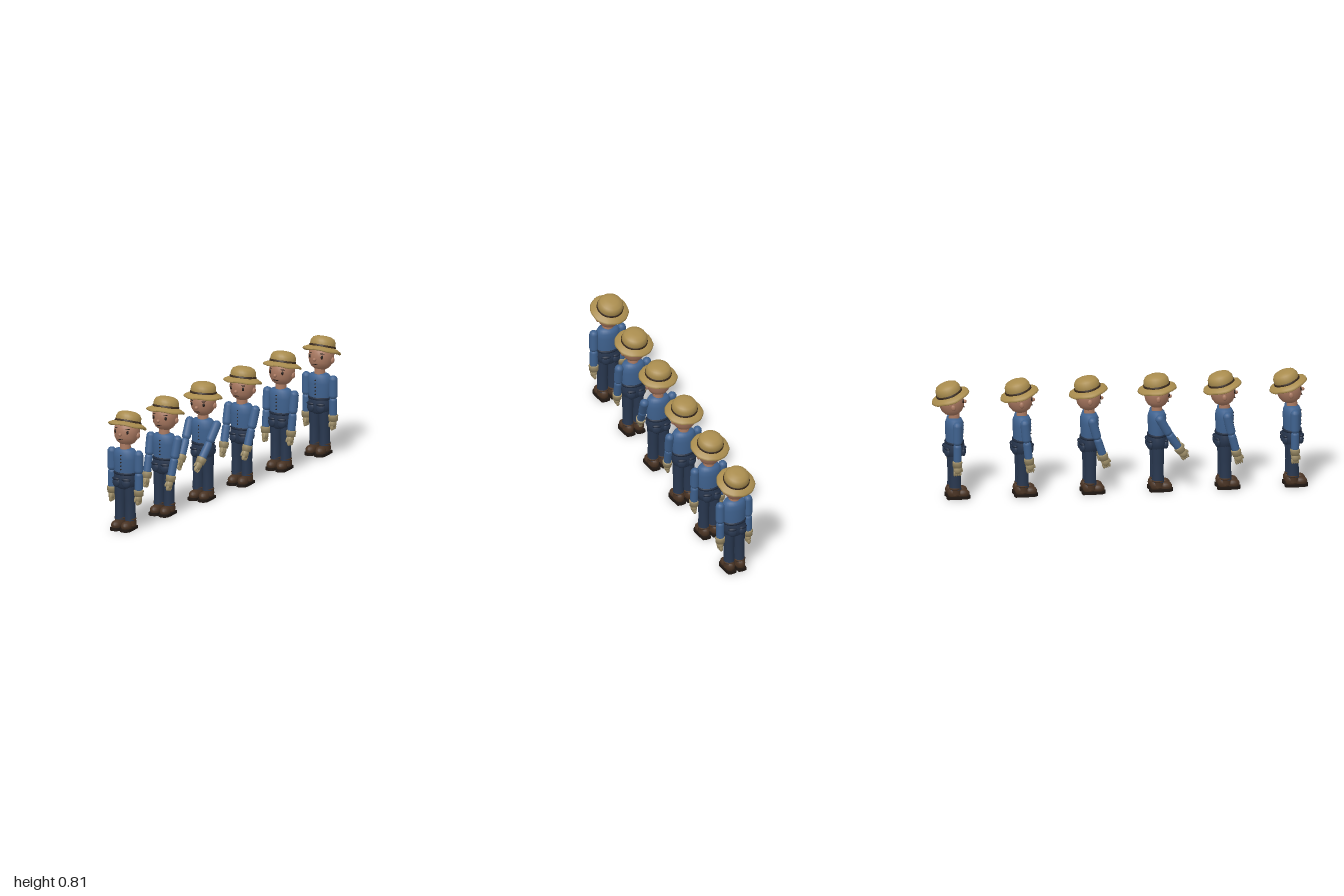
import * as THREE from 'three';

const mat = (color, side = THREE.FrontSide) => new THREE.MeshStandardMaterial({ color, side });
const M = {
  straw: mat(0xa98c4e, THREE.DoubleSide), band: mat(0x3a2a1c), skin: mat(0xa87860), dark: mat(0x231a16),
  shirt: mat(0x3f628f), denim: mat(0x28374f), seam: mat(0x202c40), glove: mat(0xa0906a),
  boot: mat(0x4a3424), sole: mat(0x1f1712),
};
const V = (points) => points.map(([x, y]) => new THREE.Vector2(x, y));

function add(parent, name, geometry, material, x = 0, y = 0, z = 0, scale = [1, 1, 1]) {
  const mesh = new THREE.Mesh(geometry, material);
  mesh.name = name;
  mesh.position.set(x, y, z);
  mesh.scale.set(...scale);
  parent.add(mesh);
  return mesh;
}
function group(parent, name, x = 0, y = 0, z = 0) {
  const g = new THREE.Group();
  g.name = name;
  g.position.set(x, y, z);
  parent.add(g);
  return g;
}
const ball = new THREE.SphereGeometry(1, 14, 10);
const bead = new THREE.SphereGeometry(1, 8, 6);
const lathe = (points, n = 18) => new THREE.LatheGeometry(V(points), n);

// Brim with a gently wavy, uneven edge
function brimGeometry() {
  const g = lathe([[0.07, 0.004], [0.1, -0.008], [0.125, -0.022], [0.132, -0.016], [0.126, -0.006], [0.1, 0.008], [0.07, 0.016]], 44);
  const p = g.attributes.position;
  for (let i = 0; i < p.count; i++) {
    const x = p.getX(i), z = p.getZ(i), a = Math.atan2(x, z);
    const edge = Math.max(0, (Math.hypot(x, z) - 0.08) / 0.052);
    const s = 1 - 0.02 * edge * (1 + Math.cos(11 * a)) / 2;
    p.setXYZ(i, x * s, p.getY(i) + 0.003 * edge * Math.sin(5 * a), z * s);
  }
  g.computeVertexNormals();
  return g;
}

// Sole outline seen from above, extruded upwards
function soleGeometry() {
  const s = new THREE.Shape();
  s.moveTo(-0.03, 0.052);
  s.quadraticCurveTo(0, 0.064, 0.03, 0.052);
  s.bezierCurveTo(0.034, 0, 0.038, -0.03, 0.036, -0.07);
  s.bezierCurveTo(0.034, -0.112, -0.034, -0.112, -0.036, -0.07);
  s.bezierCurveTo(-0.038, -0.03, -0.034, 0, -0.03, 0.052);
  const g = new THREE.ExtrudeGeometry(s, { depth: 0.018, bevelEnabled: false, curveSegments: 8 });
  return g.rotateX(-Math.PI / 2);
}

const G = {
  brim: brimGeometry(),
  crown: lathe([[0.081, 0], [0.086, 0.025], [0.084, 0.05], [0.072, 0.071], [0.045, 0.083], [0.02, 0.086], [0, 0.086]], 28),
  band: lathe([[0.085, 0.004], [0.09, 0.008], [0.09, 0.02], [0.084, 0.025]], 28),
  head: lathe([[0, -0.084], [0.035, -0.079], [0.06, -0.062], [0.077, -0.035], [0.086, 0.005], [0.084, 0.04], [0.068, 0.07], [0, 0.085]], 24),
  neck: new THREE.CylinderGeometry(0.034, 0.038, 0.06, 18),
  torso: lathe([[0.074, 0.36], [0.08, 0.42], [0.085, 0.49], [0.082, 0.525], [0.068, 0.548], [0.035, 0.558], [0, 0.558]], 24),
  hips: lathe([[0, 0.275], [0.05, 0.28], [0.076, 0.3], [0.082, 0.34], [0.079, 0.38], [0.072, 0.395], [0, 0.395]], 24),
  belt: new THREE.TorusGeometry(0.076, 0.007, 6, 24),
  leg: lathe([[0.037, 0.065], [0.036, 0.08], [0.034, 0.17], [0.036, 0.2], [0.039, 0.33]]),
  sole: soleGeometry(),
  bootCollar: new THREE.CylinderGeometry(0.037, 0.037, 0.045, 18),
  bootTop: new THREE.TorusGeometry(0.034, 0.007, 6, 18),
  upperArm: new THREE.CapsuleGeometry(0.03, 0.105, 4, 14),
  forearm: new THREE.CapsuleGeometry(0.027, 0.09, 4, 14),
  cuff: lathe([[0, -0.03], [0.03, -0.03], [0.034, 0.006], [0.03, 0.012], [0, 0.012]]),
};

function addHead(body, pitch) {
  const head = group(body, 'head', 0, 0.57, 0);
  head.rotation.x = pitch;
  add(head, 'face', G.head, M.skin, 0, 0.09, 0);
  add(head, 'nose', ball, M.skin, 0, 0.075, 0.088, [0.012, 0.012, 0.014]);
  add(head, 'mouth', bead, M.dark, 0, 0.043, 0.074, [0.022, 0.003, 0.006]);
  for (const s of [-1, 1]) {
    add(head, 'ear', ball, M.skin, s * 0.085, 0.08, -0.006, [0.012, 0.021, 0.016]);
    add(head, 'eye', bead, M.dark, s * 0.045, 0.095, 0.071, [0.009, 0.013, 0.008]);
    const brow = add(head, 'eyebrow', bead, M.dark, s * 0.045, 0.118, 0.071, [0.016, 0.003, 0.006]);
    brow.rotation.y = s * 0.56;
  }
  const hat = group(head, 'hat', 0, 0.147, 0);
  hat.rotation.x = -0.13;
  add(hat, 'hatBrim', G.brim, M.straw);
  add(hat, 'hatCrown', G.crown, M.straw);
  add(hat, 'hatBand', G.band, M.band);
}

function addArm(body, s, swing) {
  const arm = group(body, s > 0 ? 'leftArm' : 'rightArm', s * 0.103, 0.52, 0);
  arm.rotation.set(-swing, 0, -s * swing * (s > 0 ? 0.3 : 0.1));
  add(arm, 'upperArm', G.upperArm, M.shirt, 0, -0.052, 0);
  const lower = group(arm, 'lowerArm', 0, -0.13, 0);
  lower.rotation.x = -swing * 0.12;
  add(lower, 'forearm', G.forearm, M.shirt, 0, -0.058, 0);
  add(lower, 'gloveCuff', G.cuff, M.glove, 0, -0.122, 0);
  add(lower, 'glovePalm', ball, M.glove, 0, -0.168, 0.002, [0.022, 0.033, 0.029]);
  for (let i = 0; i < 4; i++)
    add(lower, 'gloveFinger', bead, M.glove, 0, -0.193, -0.019 + i * 0.013, [0.013, 0.022, 0.0085]);
  const thumb = add(lower, 'gloveThumb', bead, M.glove, -s * 0.01, -0.17, 0.028, [0.009, 0.022, 0.01]);
  thumb.rotation.x = -0.4;
}

function addLeg(body, s) {
  const leg = group(body, s > 0 ? 'leftLeg' : 'rightLeg', s * 0.038, 0, 0);
  add(leg, 'trouserLeg', G.leg, M.denim, 0, 0, 0, [1, 1, 1.1]);
  add(leg, 'bootSole', G.sole, M.sole);
  add(leg, 'bootToe', ball, M.boot, 0, 0.033, 0.053, [0.034, 0.032, 0.043]);
  add(leg, 'bootHeel', ball, M.boot, 0, 0.043, -0.012, [0.034, 0.042, 0.042]);
  add(leg, 'bootCollar', G.bootCollar, M.boot, 0, 0.053, -0.002);
  const collar = add(leg, 'bootTop', G.bootTop, M.boot, 0, 0.074, -0.002);
  collar.rotation.x = Math.PI / 2;
}

function farmhand(parent, x, z, swing, pitch) {
  const body = group(parent, 'farmhand', x, 0, z);
  body.rotation.y = -Math.PI / 4;
  add(body, 'neck', G.neck, M.skin, 0, 0.57, 0);
  add(body, 'shirt', G.torso, M.shirt, 0, 0, 0, [1, 1, 0.72]);
  add(body, 'trouserSeat', G.hips, M.denim, 0, 0, 0, [1, 1, 0.8]);
  const belt = add(body, 'belt', G.belt, M.seam, 0, 0.388, 0, [1, 0.79, 1.3]);
  belt.rotation.x = Math.PI / 2;
  // Shirt buttons
  for (let i = 0; i < 5; i++)
    add(body, 'shirtButton', bead, M.dark, 0, 0.42 + i * 0.024, 0.06, [0.005, 0.005, 0.005]);
  // Hip pouches in front, pockets behind
  for (const s of [-1, 1]) {
    for (const f of [-1, 1]) {
      const pocket = group(body, f > 0 ? 'frontPocket' : 'backPocket', s * 0.038, 0.333, f * 0.055);
      pocket.rotation.y = s * f * 0.3;
      add(pocket, 'pocketBag', ball, M.denim, 0, -0.006, 0, [0.031, 0.034, 0.017]);
      add(pocket, 'pocketFlap', ball, M.seam, 0, 0.02, f * 0.003, [0.032, 0.012, 0.016]);
    }
    addLeg(body, s);
    addArm(body, s, swing);
  }
  addHead(body, pitch);
}

export function createModel() {
  const model = new THREE.Group();
  model.name = 'rowOfFarmhands';
  // Arm swing and head tilt (degrees) through the bowing motion
  const poses = [[0, -12], [13, -7], [30, 0], [16, -4], [6, -8], [0, -12]];
  poses.forEach(([swing, pitch], i) => farmhand(
    model, -0.877 + 0.345 * i, 0.735 - 0.292 * i,
    THREE.MathUtils.degToRad(swing), THREE.MathUtils.degToRad(pitch)));
  return model;
}
